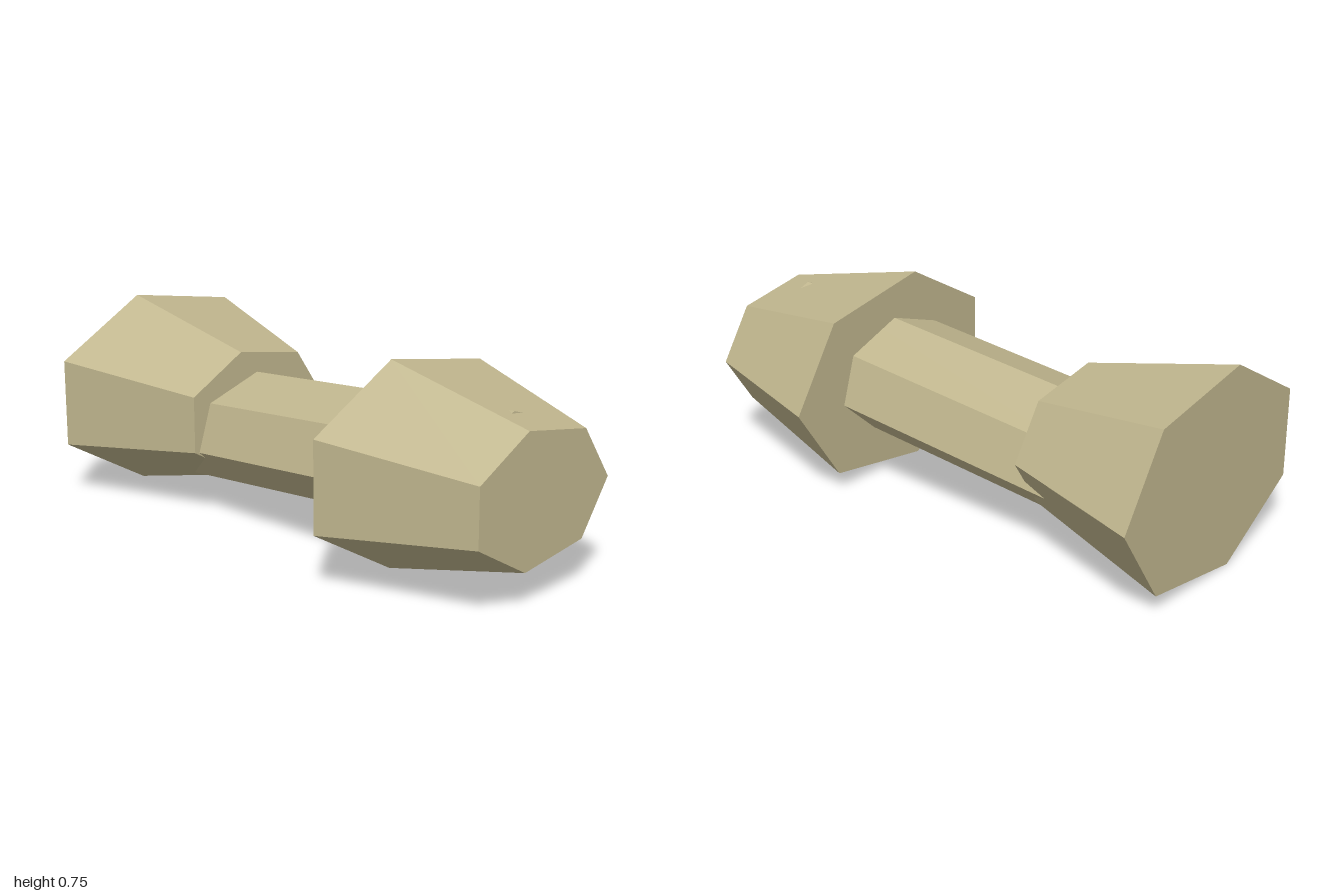
import * as THREE from 'three';

const SIDES = 7;

export function createModel() {
  const group = new THREE.Group();
  const tan = new THREE.MeshStandardMaterial({ color: 0xc0b68e, flatShading: true });
  tan.name = 'tan';

  // Seven-sided prism lying along x, with an oval section; r0 is at -x, r1 at +x
  function prism(name, r0, r1, length, scaleY, scaleZ, start) {
    const geometry = new THREE.CylinderGeometry(r1, r0, length, SIDES, 1, false, start);
    geometry.rotateZ(-Math.PI / 2);
    geometry.scale(1, scaleY, scaleZ);
    const mesh = new THREE.Mesh(geometry, tan);
    mesh.name = name;
    group.add(mesh);
    return mesh;
  }

  // Two tapered end weights, both narrowing towards +x, one corner at the back
  for (const [name, x] of [['rightWeight', -0.71], ['leftWeight', 0.7085]]) {
    prism(name, 1, 0.641, 0.581, 0.385, 0.526, Math.PI).position.set(x, 0.375, 0.026);
  }

  // Slightly tilted handle running into both weights, one corner on top
  const handle = prism('handle', 1, 1, 1.58, 0.213, 0.294, -Math.PI / 2);
  handle.rotation.z = THREE.MathUtils.degToRad(5);
  handle.position.set(0.098, 0.358, 0.023);

  return group;
}
